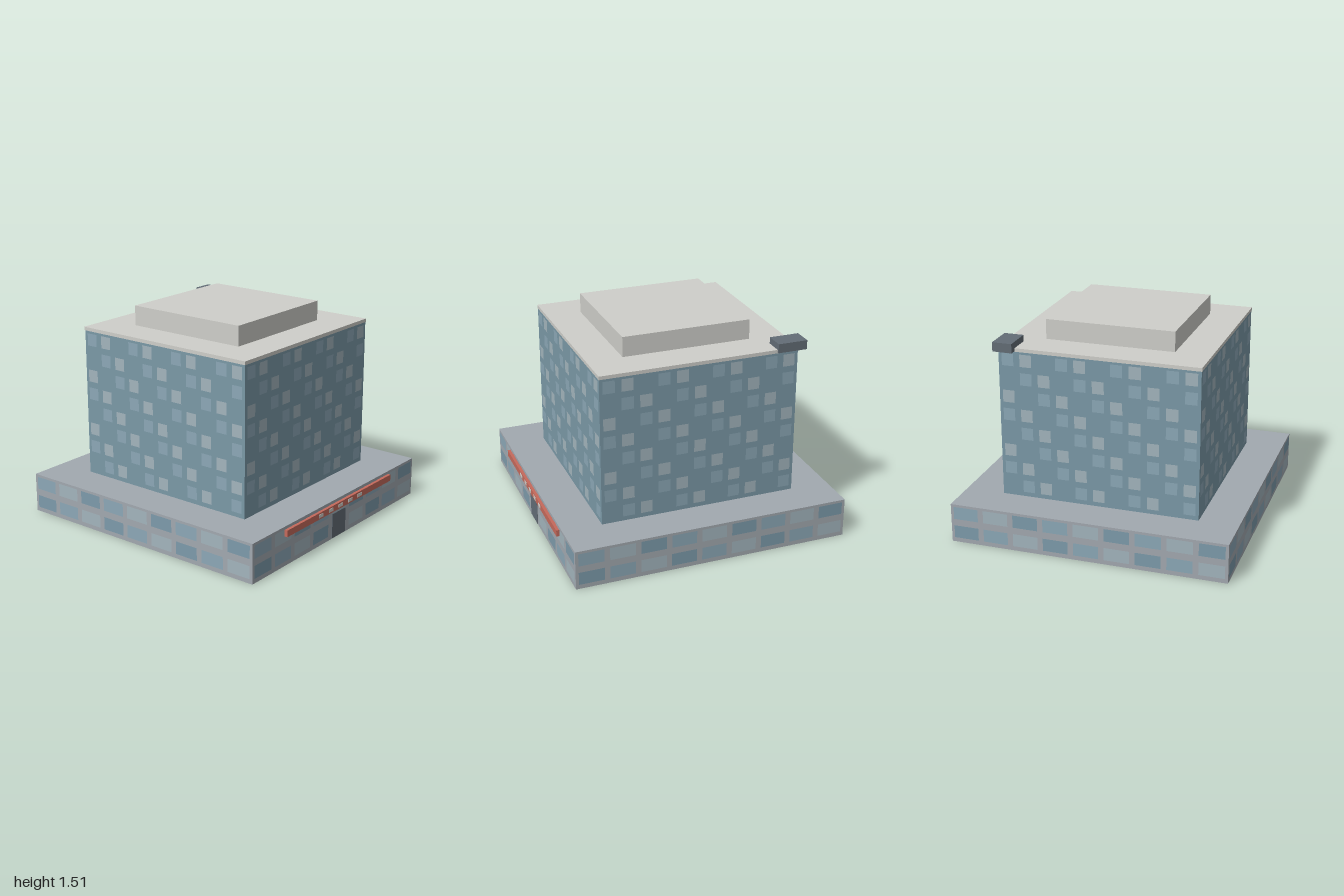
import * as THREE from 'three';
import { mergeGeometries } from 'three/addons/utils/BufferGeometryUtils.js';

const paint = (color) => new THREE.MeshStandardMaterial({ color });
const STONE = paint(0xa2a9b0), WALL = paint(0x7b99a7), ROOF = paint(0xcfcfca);
const DARK = paint(0x636d76), RED = paint(0xc56a5c);
const PANE_LIGHT = paint(0xa3b5bd), PANE_MID = paint(0x8ca8b7), PANE_DARK = paint(0x7d9bab);
const CENTRE_Z = -0.013;

export function createModel() {
  const model = new THREE.Group();

  const add = (name, geometry, material) => {
    const mesh = new THREE.Mesh(geometry, material);
    mesh.name = name;
    model.add(mesh);
  };

  // Box given by its extents on each axis
  const box = (name, material, [x0, x1], [y0, y1], [z0, z1]) => {
    const g = new THREE.BoxGeometry(x1 - x0, y1 - y0, z1 - z0);
    g.translate((x0 + x1) / 2, (y0 + y1) / 2, (z0 + z1) / 2);
    add(name, g, material);
  };

  // Window grid repeated on all four walls; pick(side, column, row) returns a pane material or null
  const windows = (name, half, columns, pitchX, rows, topY, pitchY, w, h, pick) => {
    const panes = new Map();
    for (let side = 0; side < 4; side++) {
      for (let r = 0; r < rows; r++) {
        for (let c = 0; c < columns; c++) {
          const material = pick(side, c, r);
          if (!material) continue;
          const g = new THREE.PlaneGeometry(w, h);
          g.translate((c - (columns - 1) / 2) * pitchX, topY - r * pitchY, half + 0.0015);
          g.rotateY(side * Math.PI / 2);
          g.translate(0, 0, CENTRE_Z);
          if (!panes.has(material)) panes.set(material, []);
          panes.get(material).push(g);
        }
      }
    }
    let n = 1;
    for (const [material, list] of panes) add(name + n++, mergeGeometries(list), material);
  };

  // Podium, tower and roof
  box('podium', STONE, [-0.987, 0.987], [0, 0.283], [-1, 0.974]);
  box('tower', WALL, [-0.708, 0.708], [0.283, 1.345], [-0.721, 0.695]);
  box('roofSlab', ROOF, [-0.712, 0.712], [1.345, 1.37], [-0.727, 0.697]);
  box('penthouse', ROOF, [-0.458, 0.458], [1.37, 1.512], [-0.473, 0.446]);
  box('roofUnit', DARK, [0.586, 0.725], [1.35, 1.415], [-0.78, -0.568]);

  // Tower panes step one column sideways on each floor
  windows('towerWindows', 0.708, 11, 0.1286, 8, 1.283, 0.132, 0.084, 0.088, (side, c, r) =>
    [PANE_MID, PANE_LIGHT, null][(c - r + 9) % 3]);

  // Podium panes cycle through three tints, leaving room for the door
  windows('podiumWindows', 0.987, 9, 0.219, 2, 0.219, 0.141, 0.18, 0.092, (side, c, r) =>
    side === 0 && r === 1 && c === 4 ? null : [PANE_DARK, PANE_MID, PANE_LIGHT][(c + 1 - r) % 3]);

  // Entrance and fascia band with pale blocks
  box('door', DARK, [-0.083, 0.08], [0.005, 0.186], [0.96, 0.978]);
  box('fascia', RED, [-0.643, 0.64], [0.215, 0.262], [0.974, 0.997]);
  for (let i = -2; i <= 2; i++) {
    const x = -0.014 + i * 0.12;
    box('fasciaBlock', ROOF, [x - 0.026, x + 0.026], [0.226, 0.25], [0.99, 1]);
  }

  return model;
}
